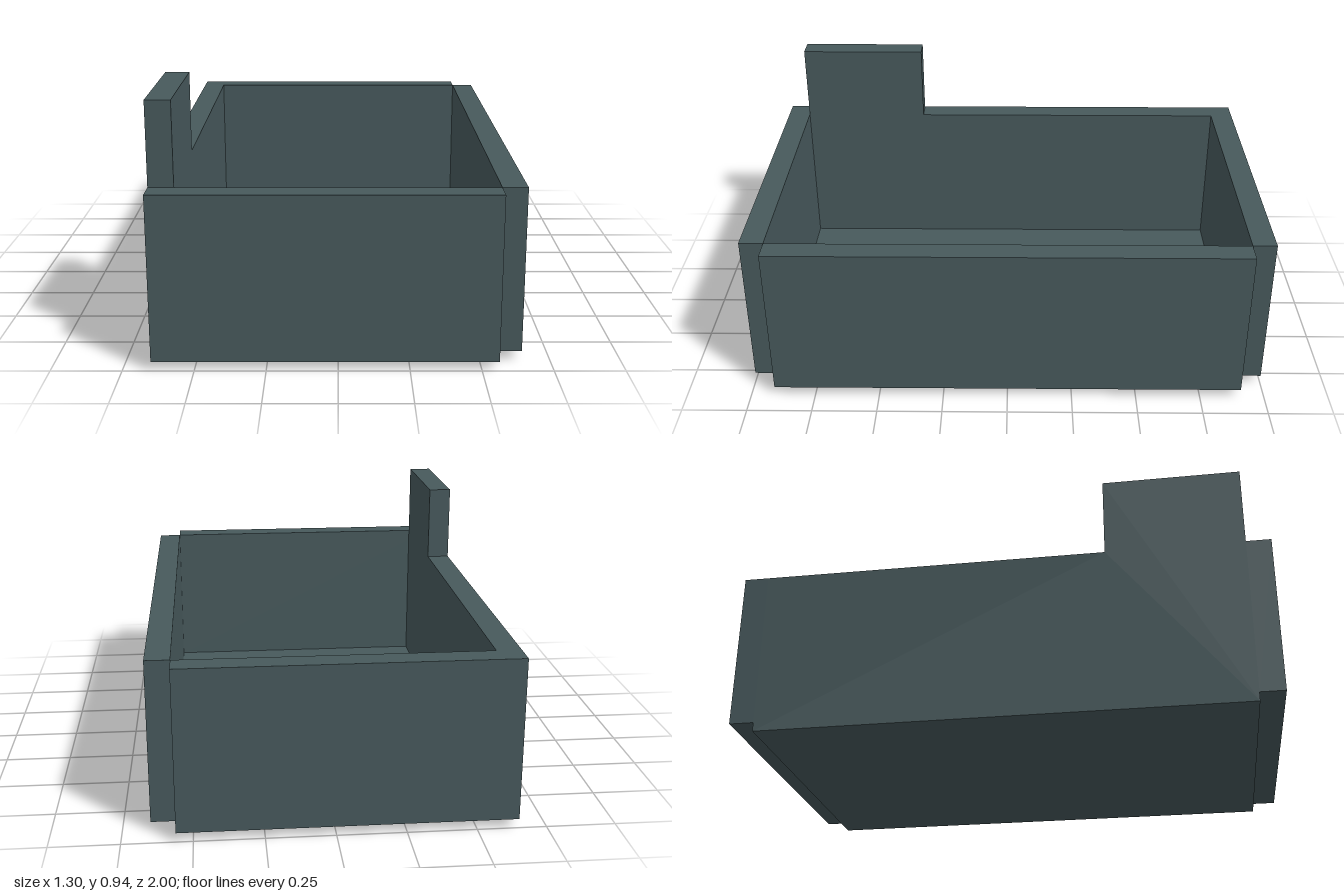
import * as THREE from 'three';

export function createModel() {
  const group = new THREE.Group();
  group.name = 'openTray';

  const slate = new THREE.MeshStandardMaterial({ color: 0x47595c });
  slate.name = 'slate';

  // Block given by its minimum and maximum corners
  function block(name, [x0, y0, z0], [x1, y1, z1]) {
    const mesh = new THREE.Mesh(new THREE.BoxGeometry(x1 - x0, y1 - y0, z1 - z0), slate);
    mesh.position.set((x0 + x1) / 2, (y0 + y1) / 2, (z0 + z1) / 2);
    mesh.name = name;
    group.add(mesh);
  }

  const outerX = 0.65, innerX = 0.56, outerZ = 1, innerZ = 0.908;
  const floorTop = 0.034, rim = 0.636, tabTop = 0.94, tabStart = 0.392;

  // Floor panel and the three plain walls
  block('floor', [-innerX, 0, -innerZ], [innerX, floorTop, innerZ]);
  block('frontWall', [-outerX, floorTop, innerZ], [innerX, rim, outerZ]);
  block('backWall', [-outerX, floorTop, -outerZ], [innerX, rim, -innerZ]);
  block('leftWall', [innerX, floorTop, -innerZ], [outerX, rim, innerZ]);

  // Wall with a raised tab at its front end: (z, y) outline extruded along x
  const outline = new THREE.Shape([
    [-innerZ, 0], [innerZ, 0], [innerZ, tabTop],
    [tabStart, tabTop], [tabStart, rim], [-innerZ, rim],
  ].map(([z, y]) => new THREE.Vector2(z, y)));
  const tabbed = new THREE.ExtrudeGeometry(outline, { depth: outerX - innerX, bevelEnabled: false });
  tabbed.rotateY(-Math.PI / 2); // shape x becomes z, depth becomes -x
  tabbed.translate(-innerX, 0, 0);
  const rightWall = new THREE.Mesh(tabbed, slate);
  rightWall.name = 'rightWallWithTab';
  group.add(rightWall);

  return group;
}
